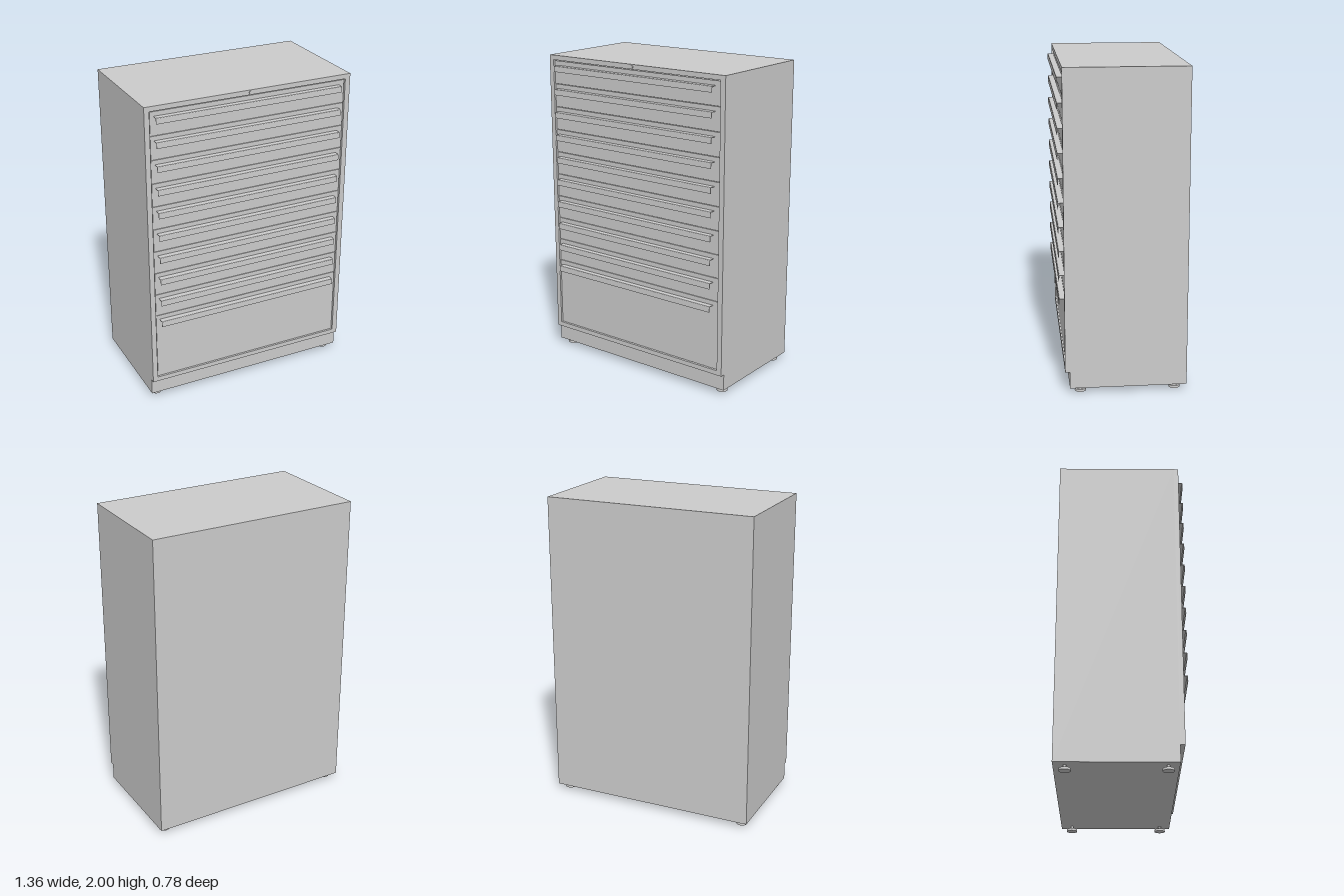
import * as THREE from 'three';

const grey = new THREE.MeshStandardMaterial({ color: 0xcccccc, side: THREE.DoubleSide });

function add(parent, name, geometry, x = 0, y = 0, z = 0) {
  const mesh = new THREE.Mesh(geometry, grey);
  mesh.name = name;
  mesh.position.set(x, y, z);
  parent.add(mesh);
  return mesh;
}

// Box given by its lower and upper limits on each axis
function addBox(parent, name, x0, x1, y0, y1, z0, z1) {
  return add(parent, name, new THREE.BoxGeometry(x1 - x0, y1 - y0, z1 - z0),
    (x0 + x1) / 2, (y0 + y1) / 2, (z0 + z1) / 2);
}

function rectangle(PathType, x0, x1, y0, y1) {
  return new PathType([[x0, y0], [x1, y0], [x1, y1], [x0, y1]].map(p => new THREE.Vector2(...p)));
}

// Bent sheet pull: a flat top that turns down into a slightly tapered lip
function handleGeometry(length) {
  const depth = 0.039, drop = 0.037, t = 0.003;
  const s = new THREE.Shape();
  s.moveTo(0, 0);
  s.lineTo(depth - 0.006, 0);
  s.quadraticCurveTo(depth - 0.001, 0, depth - 0.001, -0.006);
  s.lineTo(depth, -drop);
  s.lineTo(depth - t, -drop);
  s.lineTo(depth - t - 0.002, -0.007);
  s.quadraticCurveTo(depth - t - 0.002, -t, depth - 0.009, -t);
  s.lineTo(0, -t);
  s.closePath();
  const g = new THREE.ExtrudeGeometry(s, { depth: length, bevelEnabled: false, curveSegments: 4 });
  // Profile x becomes forward z, extrusion runs along x
  g.rotateY(-Math.PI / 2);
  g.translate(length / 2, 0, 0);
  return g;
}

export function createModel() {
  const model = new THREE.Group();
  model.name = 'drawerCabinet';

  // Carcass, whose lower front shows as the recessed plinth
  addBox(model, 'carcass', -0.68, 0.68, 0.035, 2, -0.39, 0.331);

  // Front frame around the drawers
  const frame = rectangle(THREE.Shape, -0.68, 0.68, 0.14, 2);
  frame.holes.push(rectangle(THREE.Path, -0.648, 0.646, 0.17, 1.97));
  add(model, 'frontFrame', new THREE.ExtrudeGeometry(frame, { depth: 0.029, bevelEnabled: false }), 0, 0, 0.331);

  // Nine shallow drawers above one deep drawer, each with a full-width pull
  const count = 10, pitch = 0.1495, gap = 0.003;
  const pull = handleGeometry(1.225);
  for (let i = 0; i < count; i++) {
    const top = 1.964 - i * pitch;
    const bottom = i < count - 1 ? top - pitch + gap : 0.174;
    const drawer = new THREE.Group();
    drawer.name = `drawer${i + 1}`;
    addBox(drawer, 'drawerFront', -0.643, 0.641, bottom, top, 0.331, 0.352);
    add(drawer, 'handle', pull, -0.007, top - 0.028, 0.351);
    model.add(drawer);
  }

  // Lock in the top rail
  const lock = new THREE.Group();
  lock.name = 'lock';
  lock.position.set(-0.005, 1.985, 0.36);
  add(lock, 'lockBarrel', new THREE.CylinderGeometry(0.01, 0.01, 0.012, 24)).rotation.x = Math.PI / 2;
  add(lock, 'keySlot', new THREE.BoxGeometry(0.002, 0.01, 0.002), 0, 0, 0.006);
  model.add(lock);

  // Levelling feet
  for (const x of [-0.625, 0.625]) {
    for (const z of [-0.32, 0.265]) {
      const foot = new THREE.Group();
      foot.name = 'levellingFoot';
      foot.position.set(x, 0, z);
      add(foot, 'footPad', new THREE.CylinderGeometry(0.034, 0.035, 0.015, 32), 0, 0.0075);
      add(foot, 'footCollar', new THREE.CylinderGeometry(0.016, 0.022, 0.006, 24), 0, 0.018);
      add(foot, 'footStem', new THREE.CylinderGeometry(0.009, 0.009, 0.03, 20), 0, 0.025);
      model.add(foot);
    }
  }
  return model;
}
